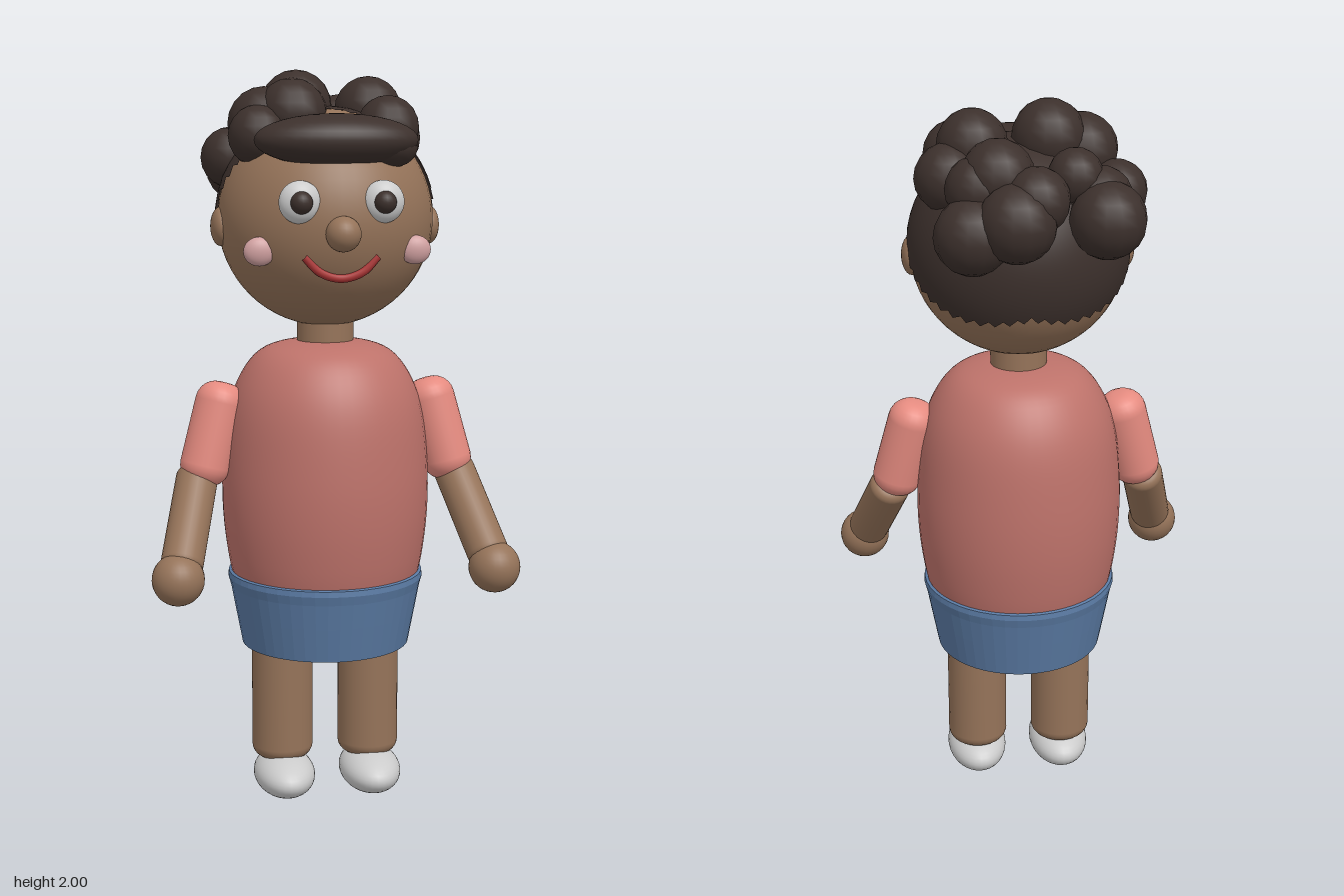
import * as THREE from 'three';

const mat = (color, extra = {}) => new THREE.MeshStandardMaterial({ color, ...extra });
const skin = mat(0x957359), hair = mat(0x3c302c), shirt = mat(0xbd726a), sleeveMat = mat(0xe58b80);
const shortsMat = mat(0x5a7aa3), white = mat(0xdcdcdc), pink = mat(0xd0a0a0), red = mat(0xa83232);
const Z = 0.025; // depth of the body axis
const HEAD = new THREE.Vector3(0, 1.61, Z);

export function createModel() {
  const root = new THREE.Group();
  root.name = 'child';

  const add = (name, geo, material, pos = [0, 0, 0]) => {
    const m = new THREE.Mesh(geo, material);
    m.name = name;
    m.position.set(...pos);
    root.add(m);
    return m;
  };
  const ball = (name, material, pos, [rx, ry, rz], w = 32, h = 20) => {
    const m = add(name, new THREE.SphereGeometry(1, w, h), material, pos);
    m.scale.set(rx, ry, rz);
    return m;
  };
  const lathe = (name, material, pts) => add(name,
    new THREE.LatheGeometry(pts.map(([r, y]) => new THREE.Vector2(r, y)), 48), material, [0, 0, Z]);
  // Limb between two points, with ends rounded by a bevel
  const limb = (name, material, a, b, r, bevel) => {
    const A = new THREE.Vector3(...a), B = new THREE.Vector3(...b), len = A.distanceTo(B);
    const pts = [new THREE.Vector2(0, 0)];
    for (let i = 0; i <= 6; i++) {
      const t = (i / 6) * Math.PI / 2;
      pts.push(new THREE.Vector2(r - bevel + bevel * Math.sin(t), bevel - bevel * Math.cos(t)));
    }
    const top = pts.slice().reverse().map(p => new THREE.Vector2(p.x, len - p.y));
    const m = add(name, new THREE.LatheGeometry([...pts, ...top], 28), material, a);
    m.quaternion.setFromUnitVectors(new THREE.Vector3(0, 1, 0), B.sub(A).normalize());
    return m;
  };

  // Torso: smooth barrel with rounded shoulders
  const torso = new THREE.SplineCurve([
    [0.25, 0.6], [0.268, 0.68], [0.282, 0.8], [0.283, 0.93], [0.268, 1.08],
    [0.235, 1.18], [0.18, 1.25], [0.1, 1.278], [0, 1.282],
  ].map(p => new THREE.Vector2(...p)));
  lathe('shirt', shirt, torso.getPoints(36).map(p => [Math.max(0, p.x), p.y]));

  // Shorts: band on top, tapering to a closed hem
  const shorts = lathe('shorts', shortsMat, [
    [0, 0.435], [0.232, 0.435], [0.232, 0.435], [0.25, 0.53], [0.263, 0.6],
    [0.27, 0.625], [0.268, 0.64], [0.255, 0.645], [0, 0.645],
  ]);
  shorts.geometry = shorts.geometry.toNonIndexed();
  shorts.geometry.computeVertexNormals();
  shorts.material.flatShading = false;

  add('neck', new THREE.CylinderGeometry(0.077, 0.077, 0.12, 32), skin, [0, 1.31, Z]);
  ball('head', skin, HEAD.toArray(), [0.29, 0.29, 0.29], 48, 32);
  ball('nose', skin, [0, 1.585, 0.313], [0.046, 0.046, 0.046], 24, 16);

  // Smile
  const smile = new THREE.CatmullRomCurve3([
    [-0.095, 1.525, 0.28], [-0.055, 1.485, 0.284], [0, 1.469, 0.282], [0.055, 1.485, 0.284], [0.095, 1.525, 0.28],
  ].map(p => new THREE.Vector3(...p)));
  add('mouth', new THREE.TubeGeometry(smile, 32, 0.011, 10), red);

  // Paired parts
  for (const s of [1, -1]) {
    const side = s > 0 ? 'left' : 'right';
    ball(side + 'Eye', white, [s * 0.108, 1.665, 0.286], [0.055, 0.055, 0.036], 28, 18);
    ball(side + 'Pupil', hair, [s * 0.108, 1.665, 0.315], [0.029, 0.029, 0.027], 20, 14);
    ball(side + 'Cheek', pink, [s * 0.205, 1.537, 0.227], [0.042, 0.038, 0.023], 24, 16);
    ball(side + 'Ear', skin, [s * 0.284, 1.59, 0.03], [0.027, 0.052, 0.052], 24, 16);
    limb(side + 'Sleeve', sleeveMat, [s * 0.35, 0.895, 0.065], [s * 0.277, 1.17, 0.035], 0.068, 0.055);
    limb(side + 'Forearm', skin, [s * 0.42, 0.7, 0.235], [s * 0.353, 0.93, 0.045], 0.057, 0.025);
    ball(side + 'Hand', skin, [s * 0.428, 0.68, 0.247], [0.07, 0.07, 0.07], 28, 18);
    limb(side + 'Leg', skin, [s * 0.122, 0.1, Z], [s * 0.122, 0.55, Z], 0.085, 0.035);
    ball(side + 'Shoe', white, [s * 0.122, 0.06, 0.06], [0.085, 0.06, 0.14]);
  }

  // Hair cap: shell on the back of the head, its rim dipping towards the ears
  const cap = new THREE.SphereGeometry(0.297, 48, 20);
  const p = cap.attributes.position, uv = cap.attributes.uv;
  for (let i = 0; i < p.count; i++) {
    const az = uv.getX(i) * Math.PI * 2, t = 1 - uv.getY(i);
    const rim = THREE.MathUtils.degToRad(65 + 24 * Math.pow(Math.sin(az) ** 2, 0.6));
    const th = Math.min(Math.max(t, 0), 1) * rim;
    p.setXYZ(i, -0.297 * Math.sin(th) * Math.sin(az), 0.297 * Math.cos(th), 0.297 * Math.sin(th) * Math.cos(az));
  }
  // Keep the faces pointing outwards after the remap
  const idx = cap.index.array;
  const [a, b, c] = [0, 1, 2].map(k => new THREE.Vector3().fromBufferAttribute(p, idx[600 + k]));
  if (b.clone().sub(a).cross(c.clone().sub(a)).dot(a) < 0) {
    for (let i = 0; i < idx.length; i += 3) [idx[i], idx[i + 1]] = [idx[i + 1], idx[i]];
  }
  for (let i = 0; i < p.count; i++) {
    const n = new THREE.Vector3().fromBufferAttribute(p, i).normalize();
    cap.attributes.normal.setXYZ(i, n.x, n.y, n.z);
  }
  const capMesh = add('hairCap', cap, mat(0x3c302c, { side: THREE.DoubleSide }), HEAD.toArray());
  capMesh.rotation.x = -THREE.MathUtils.degToRad(50);

  // Curls: x, y, z, radius
  const curls = [
    [-0.197, 1.74, -0.22, 0.1], [0.037, 1.75, -0.258, 0.102], [0.145, 1.71, -0.222, 0.1],
    [-0.015, 1.8, -0.235, 0.085], [-0.185, 1.78, -0.165, 0.085], [-0.122, 1.84, -0.16, 0.072],
    [0.075, 1.845, -0.16, 0.095], [0.125, 1.815, -0.165, 0.085], [-0.245, 1.77, -0.055, 0.082],
    [0.19, 1.82, -0.065, 0.09], [0.125, 1.893, -0.02, 0.093], [-0.075, 1.905, 0, 0.097],
    [-0.165, 1.86, 0.03, 0.098], [0.16, 1.85, 0.08, 0.085], [-0.19, 1.83, 0.1, 0.08],
    [-0.095, 1.885, 0.06, 0.095],
  ];
  for (const [x, y, z, r] of curls) ball('curl', hair, [x, y, z], [r, r, r], 14, 10);

  // Fringe over the forehead
  ball('fringe', hair, [-0.002, 1.82, 0.22], [0.215, 0.068, 0.1], 32, 18);
  const lock = ball('fringeLock', hair, [0.133, 1.81, 0.2], [0.082, 0.06, 0.08], 20, 14);
  lock.rotation.z = -0.25;

  return root;
}
